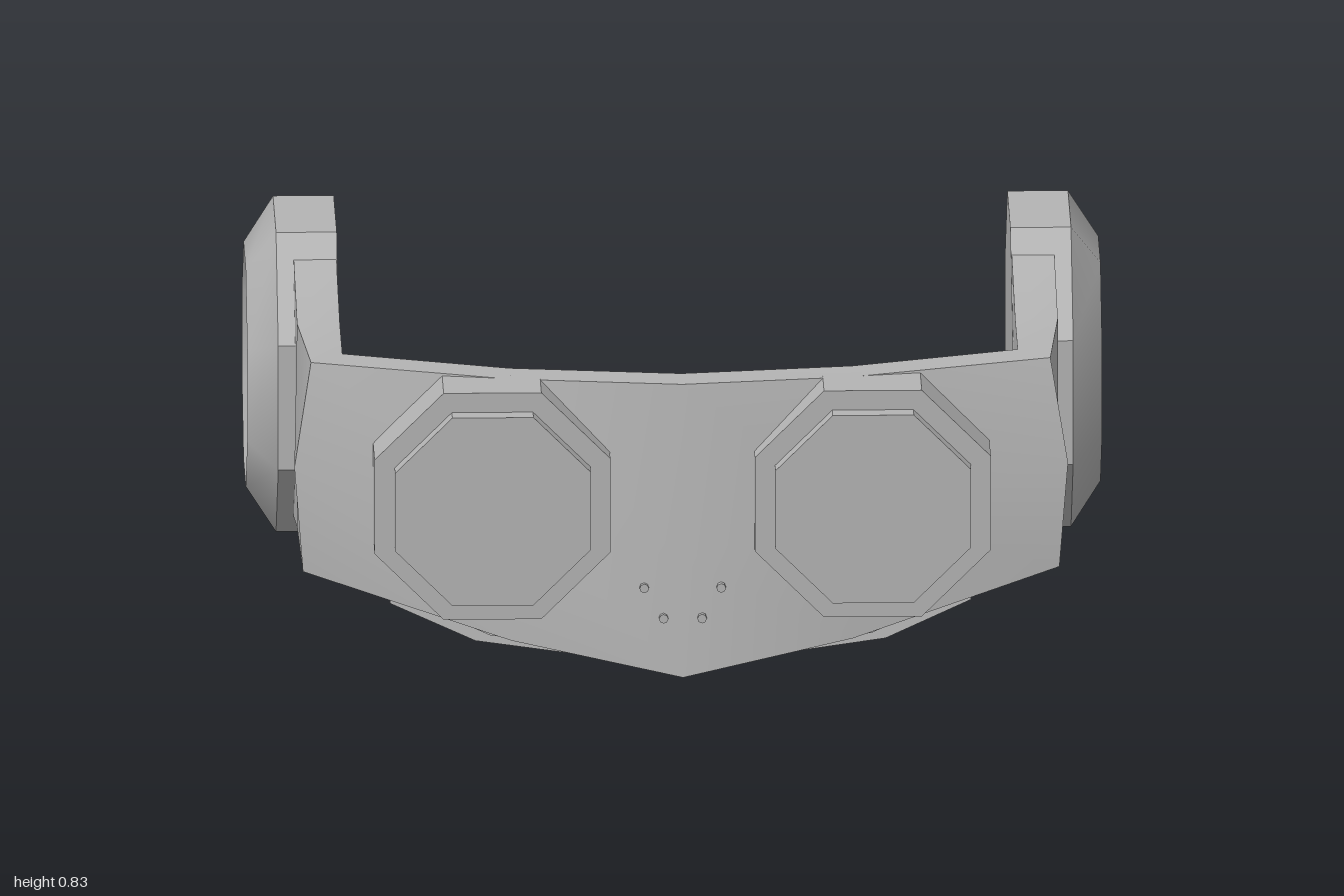
import * as THREE from 'three';
import { toCreasedNormals } from 'three/addons/utils/BufferGeometryUtils.js';

const grey = new THREE.MeshStandardMaterial({ color: 0xb4b4b4 });
grey.name = 'plain grey';

function part(name, geometry, parent) {
  const mesh = new THREE.Mesh(geometry, grey);
  mesh.name = name;
  parent.add(mesh);
  return mesh;
}

// Skin a closed solid over a row of equal-length cross-section loops.
function loft(sections) {
  const n = sections[0].length, last = (sections.length - 1) * n, index = [];
  for (let i = 0; i < sections.length - 1; i++) {
    for (let j = 0; j < n; j++) {
      const k = (j + 1) % n, a = i * n + j, b = i * n + k;
      index.push(a, a + n, b, b, a + n, b + n);
    }
  }
  for (let j = 1; j < n - 1; j++) {
    index.push(0, j, j + 1, last, last + j + 1, last + j);
  }
  const g = new THREE.BufferGeometry();
  g.setAttribute('position', new THREE.Float32BufferAttribute(sections.flat(2), 3));
  g.setIndex(index);
  return toCreasedNormals(g, 0.5);
}

// Eight-sided turned solid with flats facing the axes; radii are measured to the flats.
function octagonTurned(profile) {
  const points = profile.map(([r, h]) => new THREE.Vector2(r / Math.cos(Math.PI / 8), h));
  return toCreasedNormals(new THREE.LatheGeometry(points, 8, Math.PI / 8), 0.7);
}

// Symmetric gasket outline, scaled about its middle.
function gasketOutline(s) {
  const half = [[0, 0.11], [0.16, 0.07], [0.23, 0.005], [0.48, 0.04], [0.68, 0.13],
    [0.68, 0.55], [0.61, 0.61], [0.34, 0.6], [0.16, 0.55], [0, 0.55]];
  const other = half.slice(1, -1).reverse().map(([x, y]) => [-x, y]);
  return [...half, ...other].map(([x, y]) => new THREE.Vector2(x * s, 0.3 + (y - 0.3) * s));
}

function gasketRing(outer, inner, depth) {
  const shape = new THREE.Shape(gasketOutline(outer));
  shape.holes.push(new THREE.Path(gasketOutline(inner)));
  return new THREE.ExtrudeGeometry(shape, { depth, bevelEnabled: false });
}

export function createModel() {
  const model = new THREE.Group();
  model.name = 'headset';

  // Shell: each loop runs outer top, middle, bottom, then inner bottom, middle, top.
  const side = [
    [[0.89, 0.79, -0.19], [0.89, 0.48, -0.19], [0.89, 0.155, -0.19],
      [0.79, 0.155, -0.19], [0.79, 0.48, -0.19], [0.79, 0.79, -0.19]],
    [[0.89, 0.73, 0.17], [0.89, 0.49, 0.17], [0.89, 0.235, 0.17],
      [0.79, 0.235, 0.17], [0.79, 0.49, 0.17], [0.79, 0.73, 0.17]],
    [[0.865, 0.73, 0.49], [0.905, 0.49, 0.545], [0.885, 0.235, 0.54],
      [0.79, 0.235, 0.43], [0.79, 0.49, 0.43], [0.79, 0.73, 0.42]],
    [[0.4, 0.71, 0.57], [0.4, 0.42, 0.615], [0.4, 0.09, 0.63],
      [0.4, 0.09, 0.54], [0.4, 0.42, 0.52], [0.4, 0.71, 0.48]],
  ];
  const centre = [[0, 0.715, 0.64], [0, 0.3, 0.7], [0, 0.025, 0.725],
    [0, 0.025, 0.63], [0, 0.3, 0.6], [0, 0.715, 0.55]];
  const mirrored = side.map((s) => s.map(([x, y, z]) => [-x, y, z])).reverse();
  part('maskShell', loft([...side, centre, ...mirrored]), model);

  // Face gasket, leaning forward at the bottom
  const gasket = new THREE.Group();
  gasket.name = 'faceGasket';
  gasket.position.z = 0.44;
  gasket.rotation.x = -0.13;
  model.add(gasket);
  part('gasketRim', gasketRing(1, 0.89, 0.045), gasket);
  part('gasketInnerStep', gasketRing(0.93, 0.83, 0.06), gasket).position.z = 0.02;

  for (const s of [1, -1]) {
    const label = s > 0 ? 'left' : 'right';

    // Dished ear cup with a central knob
    const cup = part(label + 'EarCup', octagonTurned([[0, 0], [0.365, 0], [0.365, 0.142],
      [0.266, 0.212], [0.105, 0.11], [0.07, 0.15], [0, 0.15]]), model);
    cup.rotation.z = -s * Math.PI / 2;
    cup.position.set(s * 0.788, 0.473, -0.37);

    // Stepped lens pod
    const lens = part(label + 'LensPod', octagonTurned([[0, 0], [0.276, 0], [0.276, 0.148],
      [0.229, 0.148], [0.229, 0.193], [0, 0.193]]), model);
    lens.rotation.x = Math.PI / 2;
    lens.position.set(s * 0.445, 0.435, 0.54);

    // Small studs above the chin
    for (const [x, y, z] of [[0.09, 0.235, 0.69], [0.045, 0.165, 0.705]]) {
      const stud = part(label + 'ChinStud', new THREE.CylinderGeometry(0.011, 0.011, 0.02, 8), model);
      stud.rotation.x = Math.PI / 2;
      stud.position.set(s * x, y, z);
    }
  }
  return model;
}
